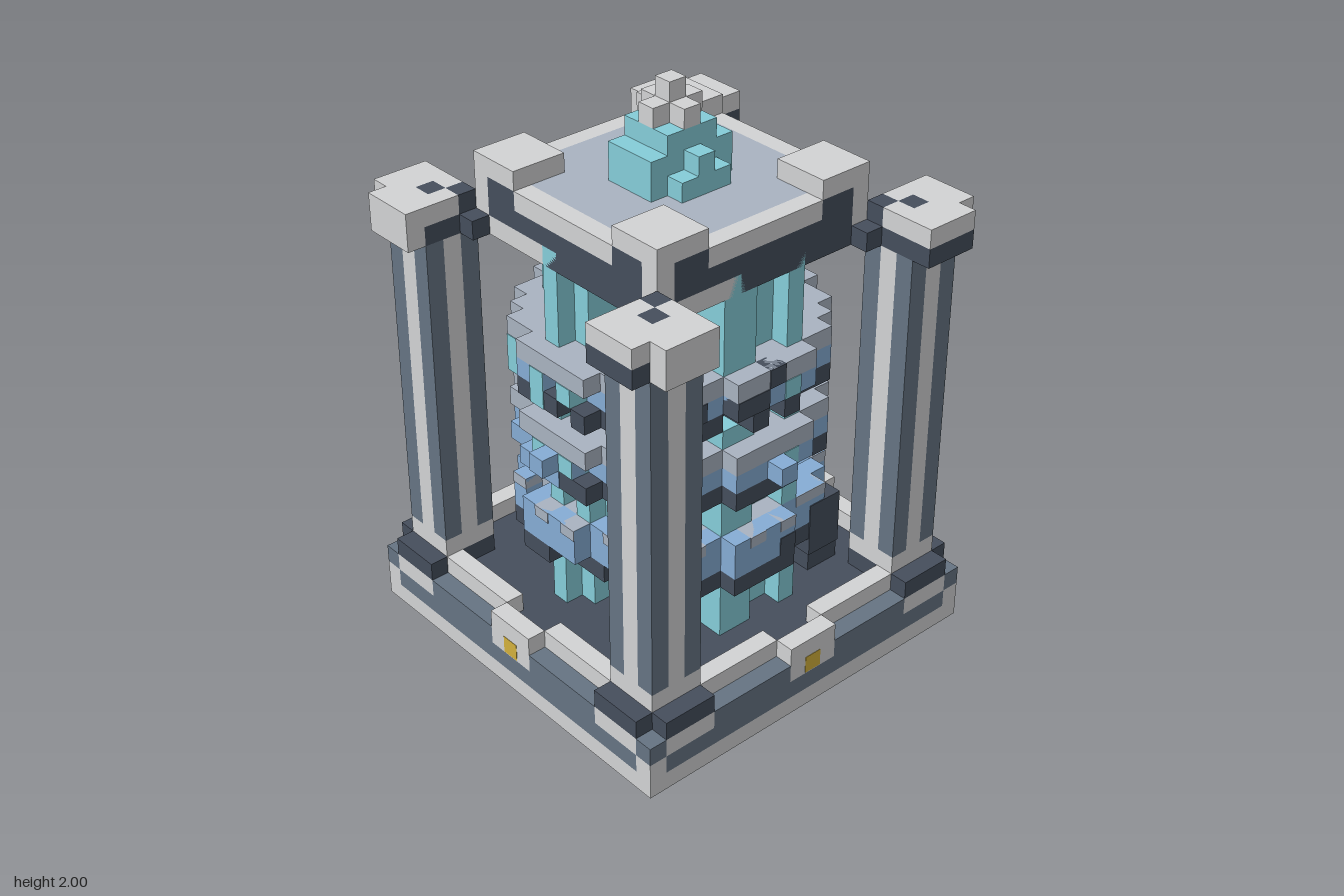
import * as THREE from 'three';
import { mergeGeometries } from 'three/addons/utils/BufferGeometryUtils.js';

const U = 1 / 15; // one block
const mat = (name, color) => {
  const m = new THREE.MeshStandardMaterial({ color });
  m.name = name;
  return m;
};

export function createModel() {
  const light = mat('lightStone', 0xd2d3d4), dark = mat('darkStone', 0x454e5c);
  const slate = mat('slateStone', 0x667483), gray = mat('blueGray', 0xa9b3c1);
  const teal = mat('teal', 0x85cdd9), blue = mat('blue', 0x86add5);
  const gold = mat('gold', 0xd2b03c), black = mat('black', 0x131313);

  const model = new THREE.Group();
  model.name = 'coreTower';

  // One mesh from boxes given as [x0, x1, y0, y1, z0, z1] in blocks
  const blocks = (parent, name, material, list) => {
    const geos = list.map(([x0, x1, y0, y1, z0, z1]) =>
      new THREE.BoxGeometry((x1 - x0) * U, (y1 - y0) * U, (z1 - z0) * U)
        .translate((x0 + x1) / 2 * U, (y0 + y1) / 2 * U, (z0 + z1) / 2 * U));
    const mesh = new THREE.Mesh(mergeGeometries(geos), material);
    mesh.name = name;
    parent.add(mesh);
  };

  // Seeded 0..1 value per block
  const hash = (x, z, s) => {
    const v = Math.sin(x * 12.99 + z * 78.23 + s * 37.7) * 43758.5453;
    return v - Math.floor(v);
  };

  // Round blocky disc: boxes row by row, keeping the blocks passed by keep(x, z)
  const disc = (y0, y1, r2, keep = () => true) => {
    const list = [];
    for (let z = -8; z <= 8; z++) {
      let start = null;
      for (let x = -9; x <= 9; x++) {
        const on = x * x + z * z <= r2 && keep(x, z);
        if (on && start === null) start = x;
        if (!on && start !== null) {
          list.push([start - 0.5, x - 0.5, y0, y1, z - 0.5, z + 0.5]);
          start = null;
        }
      }
    }
    return list;
  };
  const ring = (y0, y1, seed, amount) =>
    disc(y0, y1, 54, (x, z) => x * x + z * z > 38 && hash(x, z, seed) < amount);

  // Single odd-coloured blocks in the front rim of a tier, given as [x, y0, y1]
  const accents = (parent, name, material, list) =>
    blocks(parent, name, material, list.map(([x, y0, y1]) => {
      const z = Math.floor(Math.sqrt(54 - x * x)) + 0.5;
      return [x - 0.5, x + 0.5, y0, y1, z - 1, z + 0.04];
    }));

  // Base
  blocks(model, 'baseUnderside', black, [[-9.5, 9.5, 0, 1, -9.5, 9.5]]);
  blocks(model, 'floor', dark, [[-9.5, 9.5, 1, 3, -9.5, 9.5]]);

  // One quarter: front side and front-left corner, repeated four times
  const sides = [0, 1, 2, 3].map((i) => {
    const q = new THREE.Group();
    q.name = 'quarter' + (i + 1);
    q.rotation.y = i * Math.PI / 2;
    model.add(q);

    // Base side
    blocks(q, 'plinthEdge', light, [[-9.5, 10.5, 0, 1, 9.5, 10.5]]);
    blocks(q, 'baseWall', slate, [
      [-9.5, 9.5, 1, 2, 9.5, 10.5],
      [-6.5, -1.5, 2, 3, 9.5, 10.5], [1.5, 6.5, 2, 3, 9.5, 10.5],
      [9.5, 10.5, 2, 3, 9.5, 10.5]]);
    blocks(q, 'baseTrim', light, [
      [9.5, 10.5, 1, 2, 9.5, 10.5],
      [-9.5, -6.5, 2, 3, 9.5, 10.5], [6.5, 9.5, 2, 3, 9.5, 10.5],
      [-6.5, -1.5, 3, 4, 8.5, 9.5], [1.5, 6.5, 3, 4, 8.5, 9.5],
      [-1.5, 1.5, 2, 4, 9.5, 10.5]]);
    blocks(q, 'goldPlate', gold, [[-0.5, 0.5, 2.05, 3, 10.5, 10.52]]);

    // Corner pillar
    blocks(q, 'pillarFoot', dark, [[6.5, 9.5, 3, 4, 6.5, 10.5], [9.5, 10.5, 3, 4, 6.5, 9.5]]);
    blocks(q, 'pillarCollar', light, [[6.5, 9.5, 4, 5, 6.5, 9.5]]);
    blocks(q, 'pillarStripes', light, [[7.5, 8.5, 5, 22, 6.5, 9.5], [6.5, 9.5, 5, 22, 7.5, 8.5]]);
    const edges = [];
    for (const x of [6.5, 8.5]) for (const z of [6.5, 8.5]) edges.push([x, x + 1, 5, 22, z, z + 1]);
    blocks(q, 'pillarEdges', slate, edges);

    // Pillar cap with a dark dot set flush in the top
    blocks(q, 'capUnderside', dark, [[6.5, 9.5, 22, 23, 6.5, 10.5], [6.5, 7.5, 23, 24, 6.5, 7.5],
      [5.5, 6.5, 22, 23, 6.5, 7.5], [6.5, 7.5, 22, 23, 5.5, 6.5]]);
    blocks(q, 'capSide', light, [[9.5, 10.5, 22, 23, 6.5, 9.5]]);
    blocks(q, 'capTop', light, [
      [7.5, 10.5, 23, 24, 6.5, 7.5], [6.5, 7.5, 23, 24, 7.5, 10.5],
      [8.5, 10.5, 23, 24, 7.5, 9.5], [7.5, 8.5, 23, 24, 8.5, 10.5],
      [8.5, 9.5, 23, 24, 9.5, 10.5]]);
    blocks(q, 'capDot', dark, [[7.5, 8.5, 23, 24, 7.5, 8.5]]);

    // Roof side
    blocks(q, 'roofBeam', dark, [
      [-1.5, 6.5, 22, 23, 5.5, 6.5], [-5.5, 5.5, 23, 24, 5.5, 6.5],
      [-5.5, -3.5, 24, 25, 5.5, 6.5], [3.5, 5.5, 24, 25, 5.5, 6.5]]);
    blocks(q, 'roofTrim', light, [
      [-5.5, -1.5, 22, 23, 5.5, 6.5], [-3.5, 3.5, 24, 25, 5.5, 6.5],
      [5.5, 6.5, 23, 25, 5.5, 6.5], [3.5, 6.5, 25, 26, 3.5, 6.5]]);

    // Blue stud and odd blocks in the tiers
    blocks(q, 'stud', blue, [[-0.5, 0.5, 12, 13, 6.5, 8.5]]);
    accents(q, 'tealBits', teal, [[1, 12, 13], [1, 16, 17]]);
    accents(q, 'grayBits', gray, [-4, -1, 1, 3, 4].map((x) => [x, 8.4, 9]));
    return q;
  });

  // Odd blocks found on one side only: front, then left
  accents(sides[0], 'frontTealBits', teal, [[-4, 15, 17], [-3, 15, 17], [-1, 15, 17], [-1, 12, 13]]);
  accents(sides[0], 'frontBlueBits', blue, [-5, -4, -3, -2, -1, 0].map((x) => [x, 11, 12]));
  accents(sides[0], 'frontDarkBits', dark, [[5, 17, 18], [-6, 12, 13], [6, 16, 17]]);
  accents(sides[1], 'sideDarkBits', dark,
    [[-5, 17, 18], [0, 17, 18], [-4, 16, 17], [-2, 16, 17], [-1, 16, 17], [1, 7, 8]]);

  // Roof panel and crown
  blocks(model, 'roofPanel', gray, [[-5.5, 5.5, 24, 25, -5.5, 5.5]]);
  blocks(model, 'roofUnderside', dark, [[-5.5, 5.5, 23, 24, -5.5, 5.5]]);
  blocks(model, 'crown', teal, [
    [-1.5, 1.5, 25, 27, -2.5, 2.5], [-2.5, 2.5, 25, 26, -1.5, 1.5],
    [-2.5, 2.5, 26, 27, -0.5, 0.5], [-1.5, 1.5, 27, 28, -1.5, 1.5]]);
  blocks(model, 'crownTip', light, [
    [-1.5, 1.5, 28, 29, -0.5, 0.5], [-0.5, 0.5, 28, 29, -1.5, 1.5],
    [-0.5, 0.5, 29, 30, -0.5, 0.5]]);

  // Fluted teal core with a deep slot in front and a pale panel at its end
  const flute = (x, z) => x * x + z * z <= 29 || hash(x, z, 3) < 0.72;
  const slotted = (x, z) => !(x >= 1 && x <= 3 && z >= 1) && flute(x, z);
  for (const [y0, y1] of [[3, 6], [14, 15], [18, 23]]) {
    blocks(model, 'core', teal, disc(y0, y1, 40, slotted));
    blocks(model, 'slotPanel', light, [[0.5, 3.5, y0, y1, 0.5, 1.5]]);
  }
  blocks(model, 'core', teal, disc(9, 11, 40, flute));

  // Ringed tiers: dark below, blue blocks, gray on top
  [[6, 7, 9], [11, 12, 13], [15, 16, 17]].forEach(([yDark, yBlue, yTop], i) => {
    blocks(model, 'tierUnderside', dark, [...disc(yDark, yBlue, 38), ...ring(yDark, yBlue, i + 5, 0.75)]);
    if (i === 0) {
      blocks(model, 'tierTop', gray, disc(8, 9, 38));
      blocks(model, 'tierBody', blue, [...disc(7, 8, 38), ...ring(7, 9, 11, 0.8)]);
    } else {
      blocks(model, 'tierBody', blue, [...disc(yBlue, yTop, 38), ...ring(yBlue, yTop, i + 13, 0.7)]);
      blocks(model, 'tierTop', gray, disc(yTop, yTop + 1, 54));
    }
  });

  // Dark lump beside the lowest tier
  blocks(model, 'rubble', dark, [
    [3.5, 5.55, 3, 6, -6.5, -4.5], [4.5, 6.55, 5, 8, -5.55, -3.5]]);

  return model;
}
